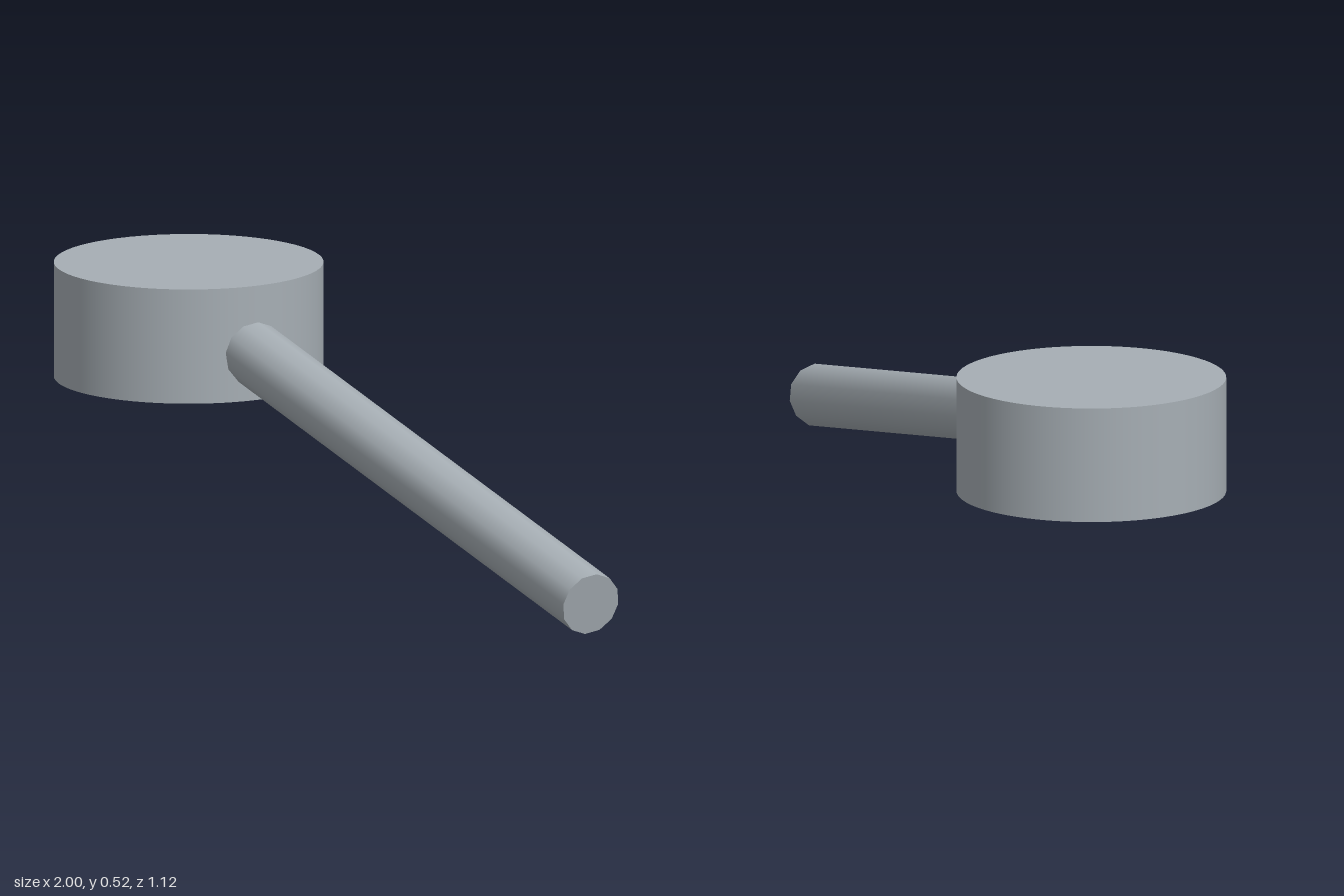
import * as THREE from 'three';

export function createModel() {
  const group = new THREE.Group();
  const steel = new THREE.MeshStandardMaterial({ color: 0xa6aeb4 });
  steel.name = 'steel grey';

  // Upright round head
  const head = new THREE.Mesh(new THREE.CylinderGeometry(0.303, 0.303, 0.262, 64), steel);
  head.name = 'head';
  head.position.set(-0.697, 0.395, -0.257);
  group.add(head);

  // Straight sloping handle, its inner end sunk into the head
  const inner = new THREE.Vector3(-0.52, 0.39, -0.177);
  const outer = new THREE.Vector3(0.965, 0.074, 0.493);
  const axis = outer.clone().sub(inner);
  const handle = new THREE.Mesh(new THREE.CylinderGeometry(0.072, 0.072, axis.length(), 12), steel);
  handle.name = 'handle';
  handle.position.copy(inner).add(outer).multiplyScalar(0.5);
  handle.quaternion.setFromUnitVectors(new THREE.Vector3(0, 1, 0), axis.normalize());
  group.add(handle);

  return group;
}
